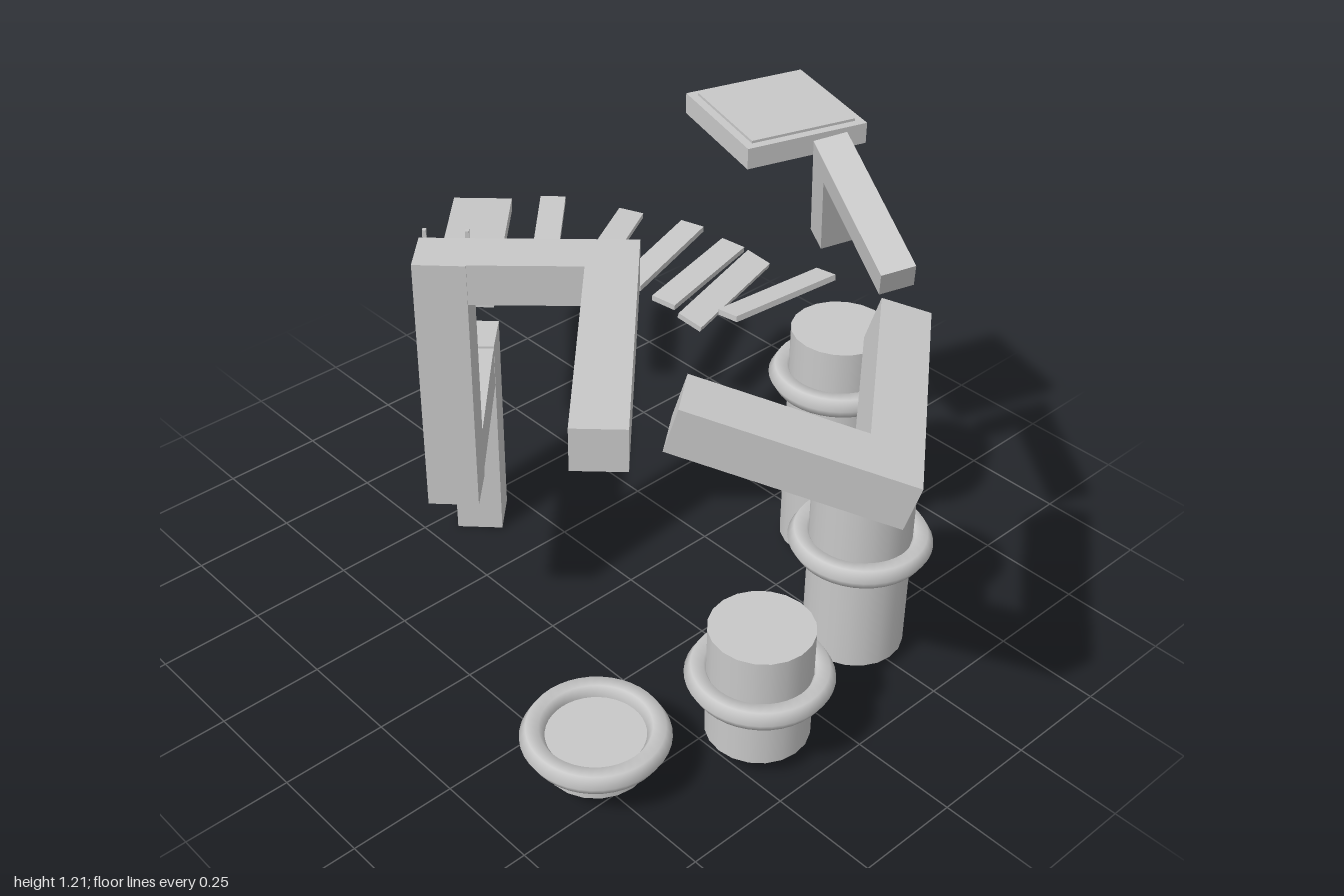
import * as THREE from 'three';

const grey = new THREE.MeshStandardMaterial({ color: 0xc8c8c8 });
grey.name = 'stone grey';
const flat = grey;

const V = (x, y, z) => new THREE.Vector3(x, y, z);

// Straight or mitred square bar along a path; up fixes the direction of its height.
function barGeometry(path, width, height, up) {
  const pts = path.map((p) => V(...p));
  const dirs = pts.slice(1).map((p, i) => p.clone().sub(pts[i]).normalize());
  let n = up.clone();
  if (dirs.length === 2) {
    n = dirs[0].clone().cross(dirs[1]).normalize();
    if (n.dot(up) < 0) n.negate();
  } else n.addScaledVector(dirs[0], -n.dot(dirs[0])).normalize();
  const rings = pts.map((p, i) => {
    const a = n.clone().cross(dirs[Math.max(i - 1, 0)]);
    const b = n.clone().cross(dirs[Math.min(i, dirs.length - 1)]);
    const side = a.clone().add(b).normalize();
    const half = width / 2 / side.dot(a);
    return [[-1, -1], [1, -1], [1, 1], [-1, 1]].map(([s, t]) =>
      p.clone().addScaledVector(side, s * half).addScaledVector(n, t * height / 2));
  });
  const out = [];
  const quad = (a, b, c, d) => [a, b, c, a, c, d].forEach((v) => out.push(v.x, v.y, v.z));
  for (let i = 0; i < rings.length - 1; i++) {
    for (let j = 0; j < 4; j++) {
      const k = (j + 1) % 4;
      quad(rings[i][j], rings[i][k], rings[i + 1][k], rings[i + 1][j]);
    }
  }
  quad(...rings[0].slice().reverse());
  quad(...rings[rings.length - 1]);
  const g = new THREE.BufferGeometry();
  g.setAttribute('position', new THREE.Float32BufferAttribute(out, 3));
  g.computeVertexNormals();
  return g;
}

export function createModel() {
  const model = new THREE.Group();
  model.name = 'floatingCourse';

  const add = (name, geometry, parent = model) => {
    const mesh = new THREE.Mesh(geometry, flat);
    mesh.name = name;
    parent.add(mesh);
    return mesh;
  };
  const bar = (name, path, w, h, up = V(0, 1, 0)) => add(name, barGeometry(path, w, h, up));

  // Four round pillars, each with a ring: x, z, bottom, top, ring height
  const pillars = [
    [-0.49, 0.43, 0.05, 0.125, 0.123],
    [-0.158, 0.587, 0.045, 0.33, 0.2],
    [0.235, 0.51, 0.03, 0.505, 0.314],
    [0.48, 0.2, 0.02, 0.62, 0.494],
  ];
  for (const [x, z, y0, y1, ringY] of pillars) {
    const pillar = new THREE.Group();
    pillar.name = 'pillar';
    pillar.position.set(x, 0, z);
    add('pillarDrum', new THREE.CylinderGeometry(0.117, 0.117, y1 - y0, 20), pillar).position.y = (y0 + y1) / 2;
    const ring = add('pillarRing', new THREE.TorusGeometry(0.136, 0.028, 6, 40), pillar);
    ring.rotation.x = Math.PI / 2;
    ring.position.y = ringY;
    model.add(pillar);
  }

  // Main frame: top beam, post, lower beam and leg, all turned by 45 degrees
  bar('topBeam', [[-0.588, 0.993, 0.562], [-0.158, 0.993, 0.118], [-0.415, 0.993, -0.122]], 0.11, 0.095);
  bar('post', [[-0.415, 0.425, -0.122], [-0.415, 1.04, -0.122]], 0.112, 0.112, V(1, 0, -1));
  bar('lowerBeam', [[-0.415, 0.475, -0.122], [-0.105, 0.492, -0.45]], 0.11, 0.105);
  bar('leg', [[-0.105, 0, -0.448], [-0.105, 0.548, -0.448]], 0.112, 0.112, V(1, 0, -1));

  // Ladder on the back face of the post
  const ladder = new THREE.Group();
  ladder.name = 'ladder';
  ladder.position.set(-0.372, 0, -0.165);
  ladder.rotation.y = Math.PI * 0.75;
  for (const x of [-0.045, 0.045]) {
    add('ladderRail', new THREE.BoxGeometry(0.008, 0.52, 0.01), ladder).position.set(x, 0.795, 0.004);
  }
  for (let i = 0; i < 15; i++) {
    add('ladderRung', new THREE.BoxGeometry(0.09, 0.008, 0.01), ladder).position.set(0, 0.56 + i * 0.033, 0.004);
  }
  model.add(ladder);

  // Thin panel on the outer face of the leg
  const panel = add('legPanel', new THREE.BoxGeometry(0.1, 0.5, 0.006));
  panel.position.set(-0.064, 0.275, -0.489);
  panel.rotation.y = Math.PI * 0.75;

  // Tilted front elbow and small raised elbow
  bar('frontElbow', [[-0.435, 1.024, 0.6], [-0.19, 0.914, 0.907], [0.175, 0.954, 0.608]], 0.105, 0.107);
  bar('raisedElbow', [[0.182, 1.05, 0.592], [0.31, 1.165, 0.295], [0.373, 0.933, 0.245]], 0.062, 0.075, V(1, 0, 0));

  // Square top plate with a shallow raised panel
  const plate = new THREE.Group();
  plate.name = 'topPlate';
  plate.position.set(0.355, 1.16, 0.075);
  plate.rotation.y = -0.3;
  add('plateSlab', new THREE.BoxGeometry(0.288, 0.048, 0.292), plate);
  add('platePanel', new THREE.BoxGeometry(0.25, 0.006, 0.254), plate).position.y = 0.027;
  model.add(plate);

  // Wide walkway and the fan of narrow steps
  bar('walkway', [[-0.052, 0.566, -0.557], [0.326, 0.532, -0.952]], 0.155, 0.033);
  const steps = [
    [[0.225, 0.542, -0.58], [0.465, 0.548, -0.825], V(0, 1, 0)],
    [[0.295, 0.538, -0.48], [0.575, 0.542, -0.635], V(0, 1, 0.08)],
    [[0.337, 0.532, -0.38], [0.645, 0.545, -0.473], V(0, 1, 0)],
    [[0.335, 0.54, -0.252], [0.648, 0.55, -0.325], V(0, 1, 0.08)],
    [[0.302, 0.557, -0.125], [0.61, 0.58, -0.198], V(0, 1, 0.3)],
    [[0.33, 0.612, -0.025], [0.648, 0.608, -0.003], V(0, 1, -0.18)],
  ];
  for (const [a, b, up] of steps) bar('step', [a, b], 0.067, 0.015, up);

  return model;
}
